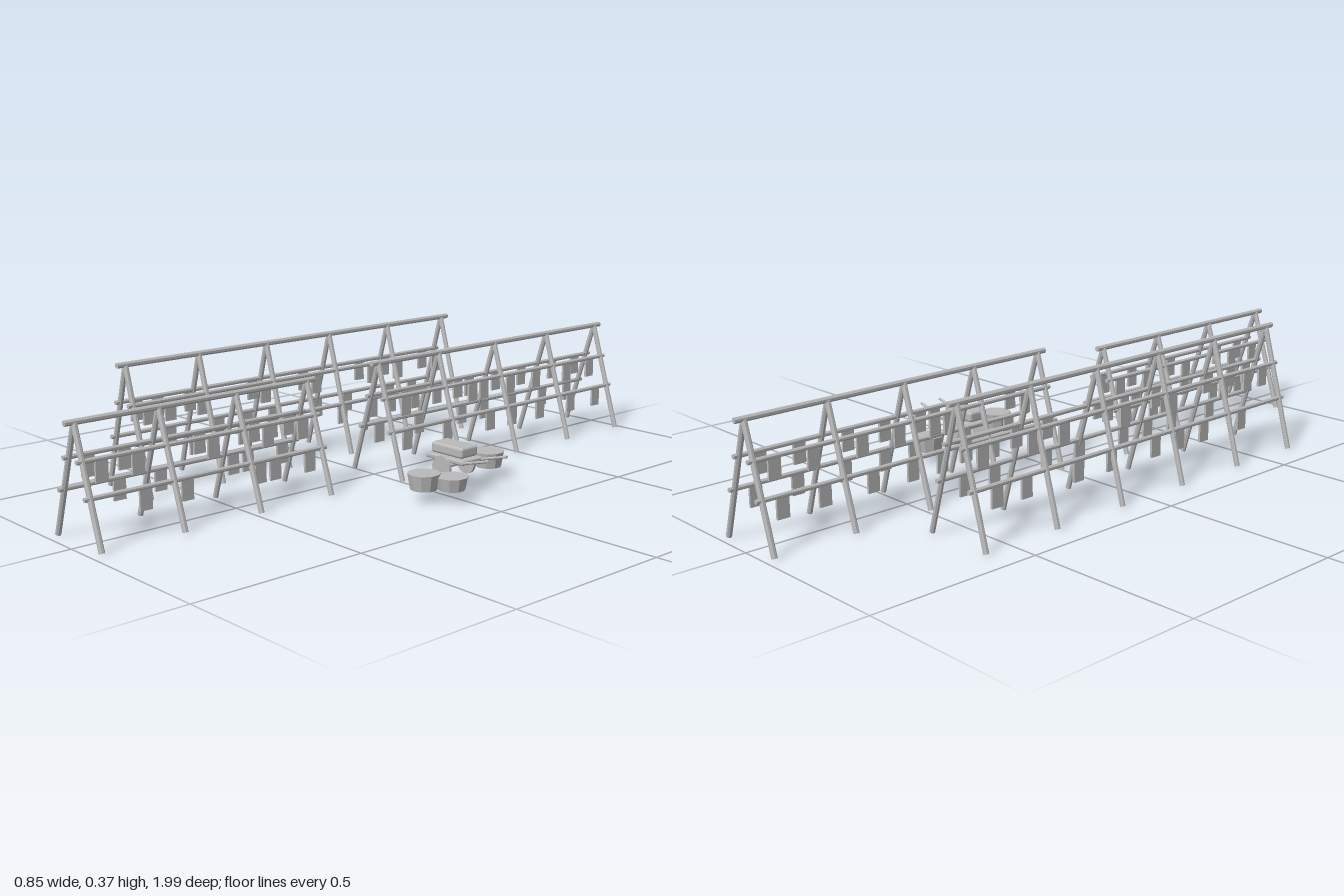
import * as THREE from 'three';
import { RoundedBoxGeometry } from 'three/addons/geometries/RoundedBoxGeometry.js';

const grey = new THREE.MeshStandardMaterial({ color: 0xbababa });
grey.name = 'plainGrey';

function add(parent, name, geometry, x = 0, y = 0, z = 0) {
  const mesh = new THREE.Mesh(geometry, grey);
  mesh.name = name;
  mesh.position.set(x, y, z);
  parent.add(mesh);
  return mesh;
}

// Faceted normals for low-poly round parts
function faceted(geometry) {
  const flat = geometry.toNonIndexed();
  flat.computeVertexNormals();
  return flat;
}

// Faceted pole between two points
function pole(parent, name, a, b, r, sides = 8) {
  const from = new THREE.Vector3(...a), to = new THREE.Vector3(...b);
  const dir = to.clone().sub(from);
  const shape = new THREE.CylinderGeometry(r, r, dir.length(), sides);
  shape.rotateY(Math.PI / sides);
  const mesh = add(parent, name, faceted(shape));
  mesh.position.copy(from).add(to).multiplyScalar(0.5);
  mesh.quaternion.setFromUnitVectors(new THREE.Vector3(0, 1, 0), dir.normalize());
}

// A-frame drying rack: leg pairs, ridge, side rails and hanging pieces
function dryingRack(name, x, height, z0, bays, upperPieces, lowerPieces) {
  const rack = new THREE.Group();
  rack.name = name;
  rack.position.x = x;
  const step = 0.243, spread = 0.103, z1 = z0 + bays * step;
  for (let i = 0; i <= bays; i++) {
    const z = z0 + i * step;
    for (const s of [-1, 1]) pole(rack, 'leg', [s * spread, 0.003, z], [0, height, z], 0.008);
  }
  pole(rack, 'ridgePole', [0, height, z0 - 0.027], [0, height, z1 + 0.027], 0.008);
  [[0.7, upperPieces], [0.42, lowerPieces]].forEach(([level, pieces]) => {
    const y = height * level;
    for (const s of [-1, 1]) {
      const rx = s * (spread * (1 - level) + 0.0005);
      pole(rack, 'sideRail', [rx, y, z0 - 0.017], [rx, y, z1 + 0.017], 0.0064);
      for (const z of pieces) {
        add(rack, 'hangingPiece', new THREE.BoxGeometry(0.007, 0.058, 0.036), rx, y - 0.031, z);
      }
    }
  });
  return rack;
}

// Two-wheeled handcart
function handcart() {
  const cart = new THREE.Group();
  cart.name = 'handcart';
  cart.position.set(0.258, 0, -0.068);
  add(cart, 'bed', new RoundedBoxGeometry(0.143, 0.014, 0.084, 2, 0.005), 0.001, 0.092, 0);
  add(cart, 'load', new RoundedBoxGeometry(0.12, 0.031, 0.066, 3, 0.008), 0, 0.116, 0);
  for (const s of [-1, 1]) {
    const wheel = add(cart, 'wheel', new THREE.CylinderGeometry(0.034, 0.034, 0.008, 24), 0, 0.069, s * 0.049);
    wheel.rotation.x = Math.PI / 2;
    pole(cart, 'handle', [0.06, 0.089, s * 0.036], [0.165, 0.117, s * 0.036], 0.004);
  }
  pole(cart, 'axle', [0, 0.069, -0.053], [0, 0.069, 0.053], 0.005);
  return cart;
}

// Tapered tub with faceted staves
function tub(x, z, h) {
  const group = new THREE.Group();
  group.name = 'tub';
  group.position.set(x, 0.035, z);
  add(group, 'tubBody', faceted(new THREE.CylinderGeometry(0.046, 0.038, h, 10)), 0, h / 2, 0);
  return group;
}

export function createModel() {
  const model = new THREE.Group();
  model.name = 'dryingYard';
  model.add(
    dryingRack('leftRack', -0.313, 0.364, -0.585, 5,
      [0.58, 0.51, 0.4, 0.175, -0.02, -0.25, -0.36, -0.53],
      [0.45, 0.28, 0.175, 0.075, -0.1, -0.225, -0.41, -0.51]),
    dryingRack('backRack', 0.017, 0.333, -0.973, 4,
      [-0.08, -0.36, -0.41, -0.53, -0.65, -0.8, -0.915],
      [-0.06, -0.225, -0.41, -0.51, -0.64, -0.79, -0.915]),
    dryingRack('frontRack', -0.016, 0.311, 0.238, 3,
      [0.915, 0.81, 0.58, 0.4, 0.28],
      [0.81, 0.685, 0.45, 0.4, 0.28]),
    handcart(),
    tub(0.246, -0.222, 0.045),
    tub(0.291, 0.083, 0.045),
    tub(0.344, 0.029, 0.037)
  );
  return model;
}
